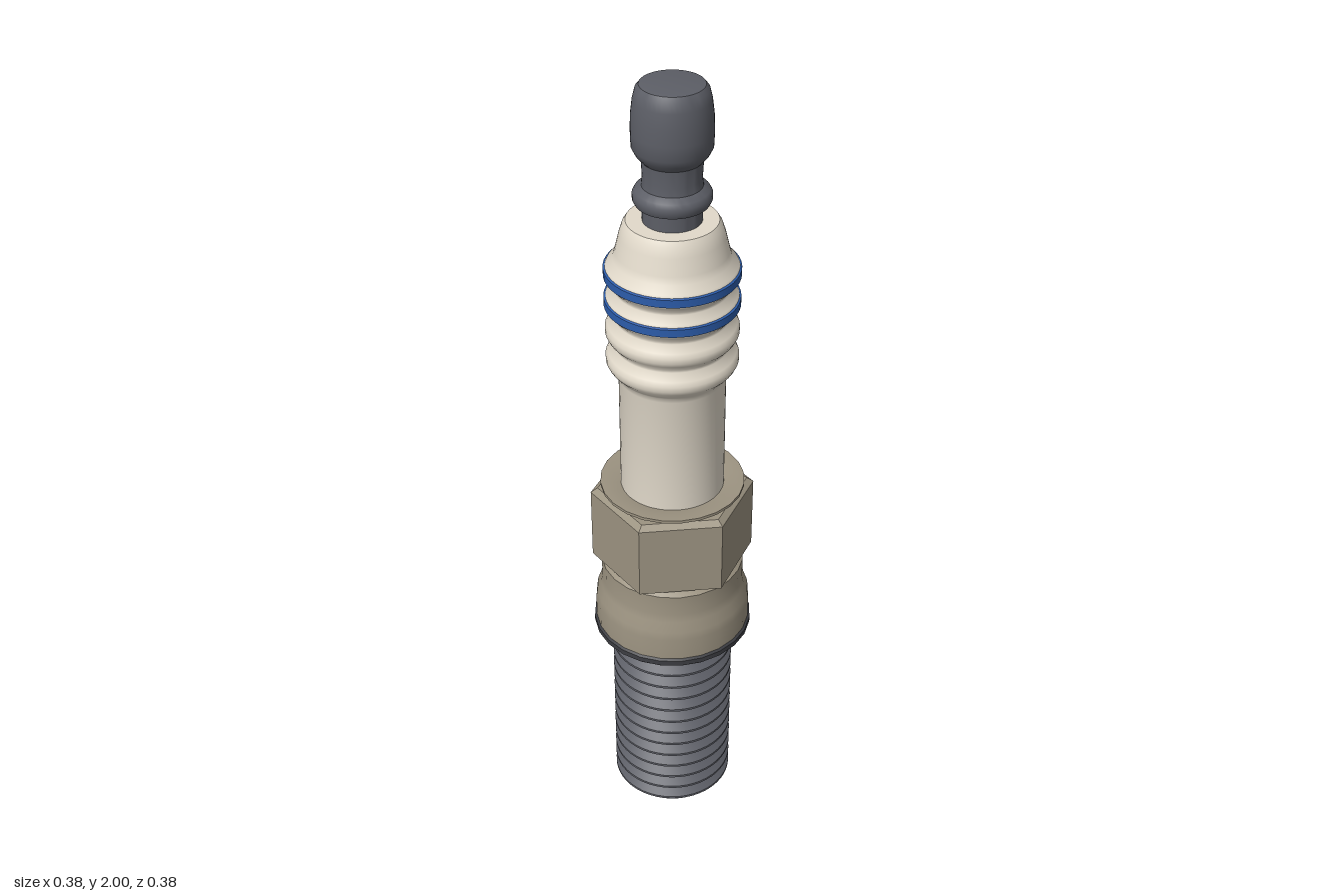
import * as THREE from 'three';
import { toCreasedNormals } from 'three/addons/utils/BufferGeometryUtils.js';

const mat = (color) => new THREE.MeshStandardMaterial({ color });

export function createModel() {
  const group = new THREE.Group();
  const steel = mat(0x5c5e66);
  const gasketSteel = mat(0x3c3d42);
  const shellMetal = mat(0x9c9381);
  const ceramic = mat(0xe2dacb);
  const blue = mat(0x2c5caa);
  const electrodeMetal = mat(0xb9b1a1);

  const add = (name, geometry, material) => {
    const mesh = new THREE.Mesh(geometry, material);
    mesh.name = name;
    group.add(mesh);
    return mesh;
  };
  // Turned part; profile is [radius, height] from bottom to top
  const turn = (name, profile, material, sides = 48, crease = 0.6) => {
    const points = profile.map(([r, y]) => new THREE.Vector2(r, y));
    return add(name, toCreasedNormals(new THREE.LatheGeometry(points, sides), crease), material);
  };

  // Terminal nut with waist and lower flange
  turn('terminal', [
    [0.063, 1.69], [0.063, 1.735], [0.078, 1.742], [0.083, 1.752], [0.083, 1.764], [0.078, 1.773],
    [0.064, 1.782], [0.062, 1.8], [0.064, 1.838], [0.076, 1.852], [0.084, 1.868], [0.085, 1.9],
    [0.084, 1.935], [0.08, 1.968], [0.075, 1.988], [0.067, 1.998], [0.055, 2], [0, 2],
  ], steel);

  // Ceramic insulator with four ribs
  const insulator = [[0.118, 1.02], [0.118, 1.325], [0.122, 1.338]];
  for (const y of [1.375, 1.445, 1.515, 1.585]) {
    insulator.push([0.126, y - 0.032], [0.14, y - 0.016], [0.145, y - 0.006],
      [0.145, y + 0.006], [0.14, y + 0.016], [0.126, y + 0.032]);
  }
  insulator.push([0.121, 1.633], [0.112, 1.67], [0.105, 1.692], [0.098, 1.703], [0, 1.703]);
  turn('insulator', insulator, ceramic, 48, 0.9);

  // Painted bands on the upper two ribs
  for (const y of [1.515, 1.585]) {
    turn('blueBand', [[0.141, y - 0.012], [0.1465, y - 0.009], [0.1465, y + 0.009], [0.141, y + 0.012]], blue);
  }

  // Crimped collar above the hexagon
  turn('collar', [[0.145, 1.01], [0.148, 1.027], [0.165, 1.036], [0.165, 1.043], [0.143, 1.043], [0.115, 1.037]], shellMetal, 24);

  // Wrench hexagon, corners toward front and back
  turn('hexagon', [[0, 0.828], [0.172, 0.828], [0.188, 0.838], [0.188, 1.016], [0.172, 1.027], [0, 1.027]], shellMetal, 6, 0.1);

  // Shell seat below the hexagon
  turn('shellSeat', [
    [0, 0.647], [0.183, 0.647], [0.183, 0.705], [0.18, 0.725], [0.171, 0.75], [0.167, 0.77], [0.167, 0.822], [0.155, 0.832],
  ], shellMetal, 24);
  turn('gasket', [[0, 0.626], [0.182, 0.626], [0.188, 0.632], [0.188, 0.645], [0.182, 0.65], [0, 0.65]], gasketSteel, 24);

  // Threaded shell with an open bore at the bottom
  const thread = [[0, 0.22], [0.092, 0.22], [0.092, 0.098], [0.108, 0.098], [0.127, 0.118]];
  const turns = 13, pitch = 0.038;
  for (let i = 0; i < turns; i++) {
    const y = 0.122 + i * pitch;
    thread.push([0.128, y], [0.145, y + pitch * 0.42], [0.145, y + pitch * 0.58]);
  }
  thread.push([0.128, 0.616], [0.128, 0.632]);
  turn('threadedShell', thread, steel, 48, 0.3);

  // Insulator nose and centre electrode
  turn('insulatorNose', [[0, 0.108], [0.04, 0.108], [0.046, 0.114], [0.062, 0.22]], ceramic, 32);
  turn('centreElectrode', [[0, 0.056], [0.023, 0.056], [0.023, 0.125]], electrodeMetal, 24);

  // Bent ground strap on the left side
  const strap = new THREE.Shape();
  strap.moveTo(0, 0.003);
  strap.lineTo(0.127, 0);
  strap.quadraticCurveTo(0.132, 0, 0.132, 0.006);
  strap.lineTo(0.132, 0.2);
  strap.lineTo(0.108, 0.2);
  strap.lineTo(0.108, 0.038);
  strap.quadraticCurveTo(0.108, 0.028, 0.098, 0.028);
  strap.lineTo(0, 0.028);
  strap.closePath();
  const strapGeometry = new THREE.ExtrudeGeometry(strap, { depth: 0.046, bevelEnabled: false, curveSegments: 5 });
  strapGeometry.translate(0, 0, -0.023);
  add('groundStrap', strapGeometry, electrodeMetal);

  return group;
}
